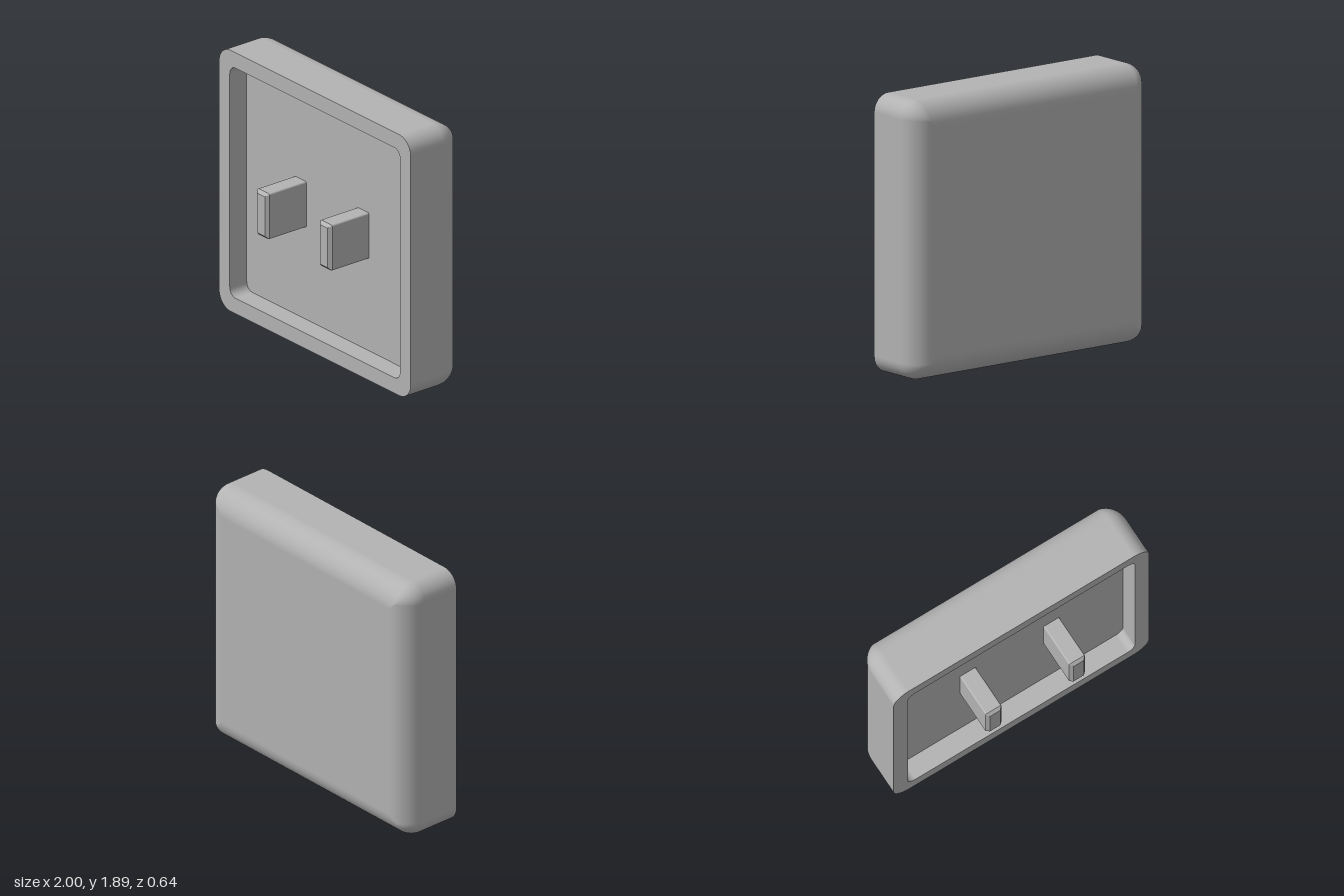
import * as THREE from 'three';

const MID_Y = 0.945;

// Rounded rectangle as a counter-clockwise list of points with outward normals
function outline(halfW, halfH, radius, inset = 0, steps = 10) {
  const w = halfW - inset, h = halfH - inset, r = Math.max(radius - inset, 0);
  const pts = [];
  [[1, 1], [-1, 1], [-1, -1], [1, -1]].forEach(([sx, sy], q) => {
    for (let i = 0; i <= steps; i++) {
      const a = (q + i / steps) * Math.PI / 2;
      const nx = Math.cos(a), ny = Math.sin(a);
      pts.push({ x: sx * (w - r) + r * nx, y: sy * (h - r) + r * ny, nx, ny });
    }
  });
  return pts;
}

// Wall through rounded rectangles; each row is [inset, z, outward normal, z normal], front to back.
// Set inward for walls that face the middle.
function wall(halfW, halfH, radius, rows, inward = false) {
  const pos = [], nor = [], idx = [], s = inward ? -1 : 1;
  let n = 0;
  rows.forEach(([inset, z, nOut, nz], j) => {
    const pts = outline(halfW, halfH, radius, inset);
    n = pts.length;
    pts.forEach((p, i) => {
      pos.push(p.x, p.y, z);
      nor.push(p.nx * nOut * s, p.ny * nOut * s, nz);
      if (j === 0) return;
      const k = (i + 1) % n;
      const a = (j - 1) * n + i, b = (j - 1) * n + k, c = j * n + i, d = j * n + k;
      if (inward) idx.push(a, b, c, b, d, c);
      else idx.push(a, c, b, b, c, d);
    });
  });
  const g = new THREE.BufferGeometry();
  g.setAttribute('position', new THREE.Float32BufferAttribute(pos, 3));
  g.setAttribute('normal', new THREE.Float32BufferAttribute(nor, 3));
  g.setIndex(idx);
  return g;
}

// Flat rounded rectangle facing +z
function plate(halfW, halfH, radius, z, inset = 0, hole = null) {
  const toVec = pts => pts.map(p => new THREE.Vector2(p.x, p.y));
  const shape = new THREE.Shape(toVec(outline(halfW, halfH, radius, inset)));
  if (hole) shape.holes.push(new THREE.Path(toVec(outline(...hole))));
  return new THREE.ShapeGeometry(shape).translate(0, 0, z);
}

export function createModel() {
  const grey = new THREE.MeshStandardMaterial({ color: 0xb3b3b3 });
  grey.name = 'plain grey';
  const model = new THREE.Group();
  model.name = 'socketCover';

  const add = (parent, name, geometry) => {
    const mesh = new THREE.Mesh(geometry, grey);
    mesh.name = name;
    parent.add(mesh);
    return mesh;
  };

  // Housing: straight sides, then a round fillet into the back
  const body = new THREE.Group();
  body.name = 'housing';
  body.position.y = MID_Y;
  model.add(body);

  const front = 0.13, back = -0.32, fillet = 0.17, floorZ = -0.015;
  const outer = [1, 0.945, 0.12], inner = [0.888, 0.833, 0.06];
  const rows = [[0, front, 1, 0]];
  for (let i = 0; i <= 14; i++) {
    const a = i / 14 * Math.PI / 2, c = Math.cos(a), s = Math.sin(a);
    rows.push([fillet * (1 - c), back + fillet * (1 - s), c, -s]);
  }
  add(body, 'housingSides', wall(...outer, rows));
  add(body, 'housingBack',
    new THREE.PlaneGeometry(2 * (outer[0] - fillet), 2 * (outer[1] - fillet))
      .rotateY(Math.PI).translate(0, 0, back));

  // Front rim and the shallow recess behind it
  add(body, 'frontRim', plate(...outer, front, 0, inner));
  add(body, 'recessWalls', wall(...inner, [[0, front, 1, 0], [0, floorZ, 1, 0]], true));
  add(body, 'recessFloor', plate(...inner, floorZ));

  // Two prongs with bevelled tips
  const prong = [0.062, 0.165, 0.012], bevel = 0.022, tip = 0.322, d = Math.SQRT1_2;
  for (const side of [1, -1]) {
    const group = new THREE.Group();
    group.name = side > 0 ? 'leftProng' : 'rightProng';
    group.position.set(side * 0.327, MID_Y, 0);
    model.add(group);
    add(group, 'prongSides', wall(...prong, [[0, tip - bevel, 1, 0], [0, floorZ, 1, 0]]));
    add(group, 'prongBevel', wall(...prong, [[bevel, tip, d, d], [0, tip - bevel, d, d]]));
    add(group, 'prongTip',
      new THREE.PlaneGeometry(2 * (prong[0] - bevel), 2 * (prong[1] - bevel)).translate(0, 0, tip));
  }
  return model;
}
